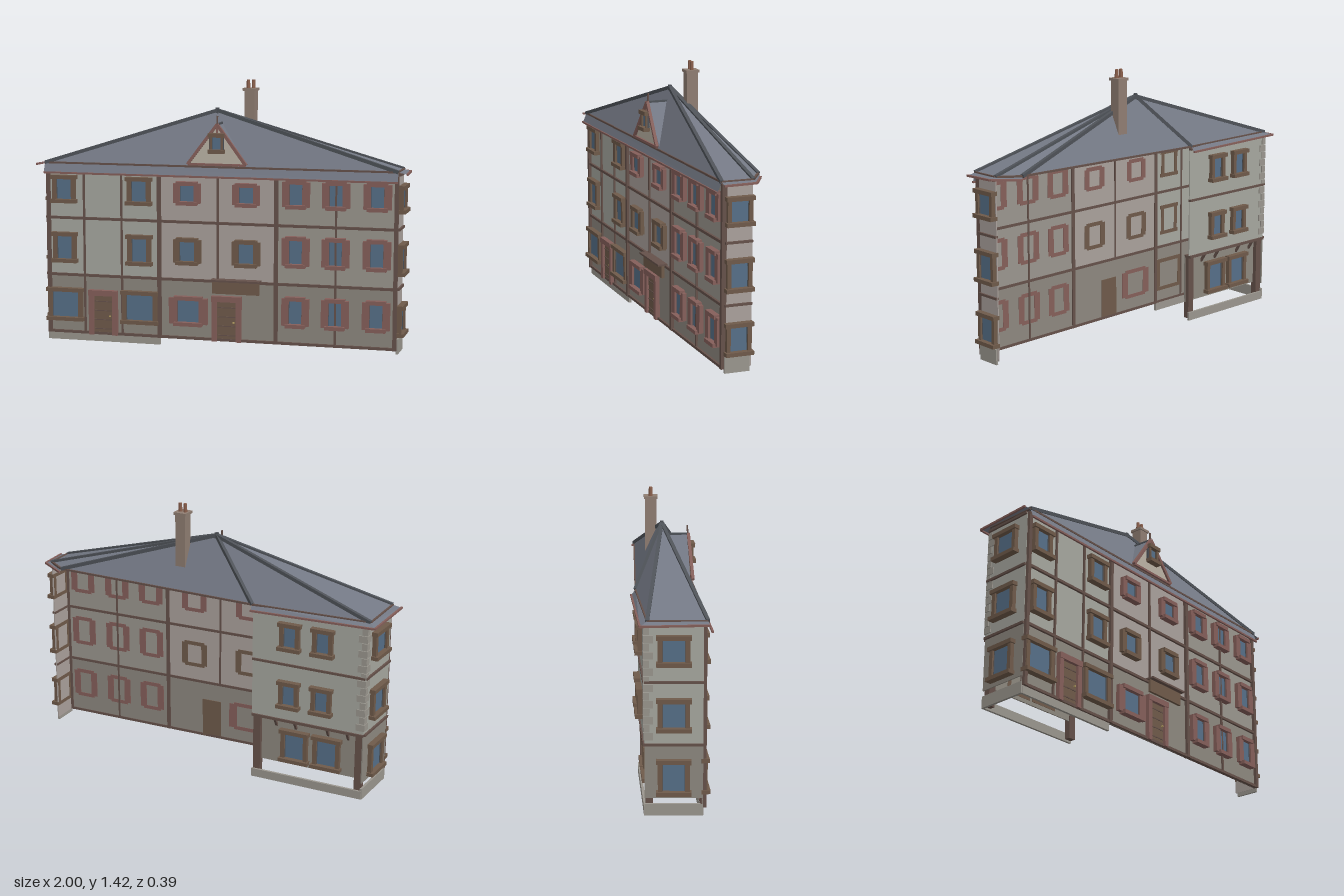
import * as THREE from 'three';

const mats = {};
const mat = (color) => (mats[color] ??= new THREE.MeshStandardMaterial({ color, side: THREE.DoubleSide, flatShading: true }));
const TIMBER = 0x65514a, BROWN = 0x6f5a4a, RED = 0x855f5a, GLASS = 0x566f88, SLATE = 0x747985, LEAD = 0x4e5258;
const STONE = 0x9a968e, PLASTER = 0xaaa19c, PALE = 0xa6a79f, GROUND = 0x8d887f;

// Box given by its x, y and z ranges
function box(parent, name, color, x0, x1, y0, y1, z0, z1) {
  const m = new THREE.Mesh(new THREE.BoxGeometry(x1 - x0, y1 - y0, z1 - z0), mat(color));
  m.position.set((x0 + x1) / 2, (y0 + y1) / 2, (z0 + z1) / 2);
  m.name = name;
  parent.add(m);
  return m;
}

// Flat triangles fanned from the first point
function fan(parent, name, color, pts) {
  const g = new THREE.BufferGeometry().setFromPoints(pts.map((p) => new THREE.Vector3(...p)));
  const idx = [];
  for (let i = 1; i < pts.length - 1; i++) idx.push(0, i, i + 1);
  g.setIndex(idx);
  const flat = g.toNonIndexed();
  flat.computeVertexNormals();
  const m = new THREE.Mesh(flat, mat(color));
  m.name = name;
  parent.add(m);
}

// Square bar between two points
function bar(parent, name, color, a, b, r) {
  const p = new THREE.Vector3(...a), q = new THREE.Vector3(...b);
  const m = new THREE.Mesh(new THREE.BoxGeometry(r * 2, r * 2, p.distanceTo(q)), mat(color));
  m.position.copy(p).lerp(q, 0.5);
  m.lookAt(q);
  m.name = name;
  parent.add(m);
}

// Group centred between two plan points, local z pointing outwards
function side(parent, name, [px, pz], [qx, qz]) {
  const g = new THREE.Group();
  g.position.set((px + qx) / 2, 0, (pz + qz) / 2);
  g.rotation.y = Math.atan2(pz - qz, qx - px);
  g.name = name;
  parent.add(g);
  return g;
}

// Glazed window: outer size w, y0..y1, jamb width j; shuttered ones have a narrow head and sill
function windowUnit(parent, x, w, y0, y1, j, color, shuttered = false, z = 0) {
  const g = new THREE.Group();
  g.name = shuttered ? 'shutteredWindow' : 'window';
  g.position.set(x, 0, z);
  parent.add(g);
  const h = w / 2, gw = h - j, e = 0.018;
  box(g, 'glass', GLASS, -gw, gw, y0 + e, y1 - e, -0.004, 0.008);
  for (const s of [-1, 1]) {
    const i = s * (gw - 0.006), o = s * (shuttered ? h : h - 0.008);
    box(g, 'jamb', color, Math.min(i, o), Math.max(i, o), y0 + 0.01, y1 - 0.01, -0.008, 0.022);
    const c = s * gw;
    box(g, 'sash', LEAD, c - 0.008, c + 0.008, y0 + e, y1 - e, 0, 0.012);
  }
  const t = shuttered ? gw + 0.012 : h;
  box(g, 'head', color, -t, t, y1 - e - 0.003, y1, -0.008, 0.031);
  box(g, 'sill', color, -t, t, y0, y0 + e + 0.002, -0.008, 0.036);
}

// Door with surround, planks and knob
function door(parent, x) {
  const g = new THREE.Group();
  g.name = 'door';
  g.position.x = x;
  parent.add(g);
  box(g, 'doorLeaf', BROWN, -0.055, 0.055, 0.04, 0.26, -0.01, 0.01);
  for (const s of [-1, 1]) box(g, 'doorPost', RED, s * 0.066 - 0.014, s * 0.066 + 0.014, 0.04, 0.28, -0.004, 0.024);
  box(g, 'doorHead', RED, -0.08, 0.08, 0.255, 0.285, -0.004, 0.028);
  for (let i = 0; i < 4; i++) box(g, 'doorRail', TIMBER, -0.05, 0.05, 0.07 + i * 0.05, 0.075 + i * 0.05, 0, 0.013);
  box(g, 'doorKnob', 0xb09a60, 0.035, 0.043, 0.14, 0.148, 0, 0.02);
}

export function createModel() {
  const root = new THREE.Group();
  root.name = 'townHouse';
  const A = [-0.95, 0.147], B = [0.95, 0.04], C = [0.95, -0.1], E = [-0.32, -0.16], F = [-0.94, -0.135];
  const floors = [0.04, 0.36, 0.67, 0.96];

  // Front wall panels
  const front = side(root, 'frontWall', A, B);
  const bays = [[-0.95, -0.32, PALE], [-0.32, 0.315, PLASTER], [0.315, 0.95, STONE]];
  for (const [x0, x1, color] of bays)
    for (let f = 0; f < 3; f++) box(front, 'wallPanel', f ? color : GROUND, x0, x1, floors[f], floors[f + 1], -0.006, 0);

  // Front timbers
  for (const y of [0.047, 0.362, 0.673, 0.955]) box(front, 'floorBeam', TIMBER, -0.95, 0.95, y - 0.007, y + 0.007, -0.01, 0.012);
  for (const x of [-0.94, -0.32, 0.315, 0.942]) box(front, 'mainPost', TIMBER, x - 0.01, x + 0.01, 0.04, 0.96, -0.012, 0.016);
  for (const x of [-0.74, -0.53, 0, 0.63]) box(front, 'thinPost', TIMBER, x - 0.005, x + 0.005, x === 0 ? 0.36 : 0.04, 0.96, -0.01, 0.01);

  // Front windows and doors
  for (const x of [-0.85, -0.43]) {
    windowUnit(front, x, 0.145, 0.755, 0.905, 0.025, BROWN);
    windowUnit(front, x, 0.145, 0.43, 0.595, 0.025, BROWN);
    windowUnit(front, x, 0.21, 0.11, 0.29, 0.025, BROWN);
  }
  for (const x of [-0.165, 0.155]) {
    windowUnit(front, x, 0.145, 0.765, 0.89, 0.028, RED, true);
    windowUnit(front, x, 0.15, 0.445, 0.59, 0.028, BROWN, true);
  }
  windowUnit(front, -0.16, 0.21, 0.115, 0.275, 0.04, RED, true);
  for (const x of [0.42, 0.63, 0.845])
    for (const y of [0.135, 0.455, 0.765]) windowUnit(front, x, 0.145, y, y + 0.165 - (y > 0.7 ? 0.015 : 0), 0.032, RED, true);
  door(front, -0.635);
  door(front, 0.05);

  // Board over the middle door
  box(front, 'doorBoard', BROWN, -0.025, 0.23, 0.3, 0.37, 0.015, 0.03);
  box(front, 'boardCanopy', TIMBER, -0.03, 0.235, 0.367, 0.377, 0, 0.052);

  // Right end wall
  const right = side(root, 'rightEndWall', B, C);
  box(right, 'wallPanel', PLASTER, -0.07, 0.07, 0.04, 0.96, -0.006, 0);
  box(right, 'endPlinth', STONE, -0.07, 0.06, 0.02, 0.1, -0.004, 0.008);
  for (const y of [0.362, 0.673, 0.955]) box(right, 'floorBeam', TIMBER, -0.07, 0.07, y - 0.006, y + 0.006, -0.01, 0.01);
  for (const y of [0.11, 0.43, 0.755]) windowUnit(right, 0, 0.145, y, y + (y > 0.7 ? 0.145 : 0.165), 0.022, BROWN);

  // Left end wall
  const left = side(root, 'leftEndWall', F, A);
  for (let f = 0; f < 3; f++) box(left, 'wallPanel', f ? PALE : GROUND, -0.141, 0.141, f ? floors[f] : 0.09, floors[f + 1], -0.006, 0);
  for (const y of [0.362, 0.673, 0.955]) box(left, 'floorBeam', TIMBER, -0.141, 0.141, y - 0.006, y + 0.006, -0.01, 0.01);
  for (const [y, h] of [[0.11, 0.18], [0.43, 0.165], [0.755, 0.15]]) windowUnit(left, 0, 0.17, y, y + h, 0.025, BROWN);

  // Rear wing wall, its ground floor set back under the upper floors
  const wing = side(root, 'rearWingWall', E, F);
  box(wing, 'upperWall', PALE, -0.31, 0.31, 0.36, 0.96, -0.006, 0);
  box(wing, 'groundWall', GROUND, -0.31, 0.31, 0.1, 0.36, -0.036, -0.03);
  box(wing, 'jettySoffit', TIMBER, -0.31, 0.31, 0.352, 0.366, -0.036, 0.008);
  for (const y of [0.673, 0.955]) box(wing, 'floorBeam', TIMBER, -0.31, 0.31, y - 0.006, y + 0.006, -0.01, 0.008);
  for (const x of [-0.285, 0.285]) box(wing, 'groundPost', TIMBER, x - 0.02, x + 0.02, 0.01, 0.352, -0.04, -0.008);
  for (const x of [-0.18, -0.07, 0.11, 0.22]) bar(wing, 'jettyBracket', TIMBER, [x, 0.31, -0.03], [x, 0.355, -0.003], 0.006);
  for (const x of [-0.1, 0.08])
    for (const y of [0.435, 0.755]) windowUnit(wing, x, 0.125, y, y + 0.15, 0.024, BROWN);
  for (const x of [-0.075, 0.105]) windowUnit(wing, x, 0.165, 0.12, 0.3, 0.024, BROWN, false, -0.03);

  // Corner stones on both faces of the rear corner
  for (let i = 0; i < 14; i++) {
    const y = 0.385 + i * 0.04, w = i % 2 ? 0.024 : 0.042;
    box(wing, 'cornerStone', STONE, 0.31 - w, 0.314, y, y + 0.036, -0.004, 0.005);
    box(left, 'cornerStone', STONE, -0.144, -0.141 + w, y, y + 0.036, -0.004, 0.005);
  }

  // Plinth strips of the left part
  box(front, 'plinth', STONE, -0.945, -0.32, 0, 0.042, -0.012, 0.002);
  box(left, 'plinth', STONE, -0.141, 0.141, 0, 0.06, -0.01, 0.003);
  box(wing, 'plinth', STONE, -0.31, 0.31, 0, 0.045, -0.01, 0.003);

  // Pyramid roof with lead hips
  const Y = 0.972, apex = [-0.04, 1.258, -0.03];
  const base = [[-0.95, Y, 0.165], [0.95, Y, 0.06], [0.95, Y, -0.1], [0.84, Y, -0.17], [-0.32, Y, -0.17], [-0.95, Y, -0.12]];
  base.forEach((p, i) => {
    const q = base[(i + 1) % base.length];
    fan(root, 'roofSlope', SLATE, [apex, p, q]);
    bar(root, 'roofHip', LEAD, p, apex, 0.009);
    bar(root, 'eaveBoard', TIMBER, p, q, 0.005);
  });
  bar(root, 'finial', LEAD, [-0.04, 1.24, -0.03], [-0.04, 1.272, -0.03], 0.008);

  // Eave skirts: sloped at the front, nearly flat elsewhere
  const skirts = [
    [base[0], base[1], [0.95, 0.92, 0.08], [-0.95, 0.92, 0.187]],
    [base[1], base[2], [0.985, 0.962, -0.105], [0.995, 0.962, 0.062]],
    [base[2], base[3], [0.845, 0.955, -0.182], [0.985, 0.962, -0.105]],
    [base[4], base[5], [-0.985, 0.955, -0.155], [-0.32, 0.945, -0.192]],
    [base[5], base[0], [-0.995, 0.962, 0.175], [-0.985, 0.955, -0.155]],
  ];
  for (const s of skirts) {
    fan(root, 'eaveSkirt', SLATE, s);
    bar(root, 'gutter', RED, s[2], s[3], 0.005);
  }

  // Gabled dormer on the front slope
  const dormer = new THREE.Group();
  dormer.name = 'dormer';
  front.add(dormer);
  const top = [0, 1.195, 0.012], back = [0, 1.195, -0.1];
  fan(dormer, 'gableWall', 0xb8b0a2, [top, [-0.15, 0.985, 0.022], [0.15, 0.985, 0.022]]);
  for (const s of [-1, 1]) {
    fan(dormer, 'dormerSlope', SLATE, [top, back, [s * 0.16, 0.98, 0.012]]);
    bar(dormer, 'bargeBoard', RED, [s * 0.157, 0.985, 0.026], [0, 1.195, 0.016], 0.008);
  }
  bar(dormer, 'gableTie', RED, [-0.155, 0.985, 0.026], [0.155, 0.985, 0.026], 0.006);
  bar(dormer, 'dormerRidge', LEAD, top, back, 0.005);
  bar(dormer, 'dormerSpike', TIMBER, [0, 1.18, 0.015], [0, 1.24, 0.01], 0.004);
  bar(dormer, 'gablePost', RED, [0, 1.13, 0.02], [0, 1.19, 0.016], 0.005);
  windowUnit(dormer, 0, 0.086, 1.045, 1.15, 0.012, BROWN, false, 0.018);

  // Chimney with cap and two pots
  const chimney = new THREE.Group();
  chimney.name = 'chimney';
  root.add(chimney);
  box(chimney, 'chimneyStack', 0x8f7d72, 0.1, 0.157, 1.05, 1.365, -0.115, -0.055);
  box(chimney, 'chimneyCap', 0x8f7d72, 0.093, 0.164, 1.362, 1.376, -0.121, -0.049);
  for (const x of [0.114, 0.143]) {
    const pot = new THREE.Mesh(new THREE.CylinderGeometry(0.009, 0.011, 0.045, 8), mat(0x8a5f4c));
    pot.position.set(x, 1.3975, -0.085);
    pot.name = 'chimneyPot';
    chimney.add(pot);
  }
  return root;
}
